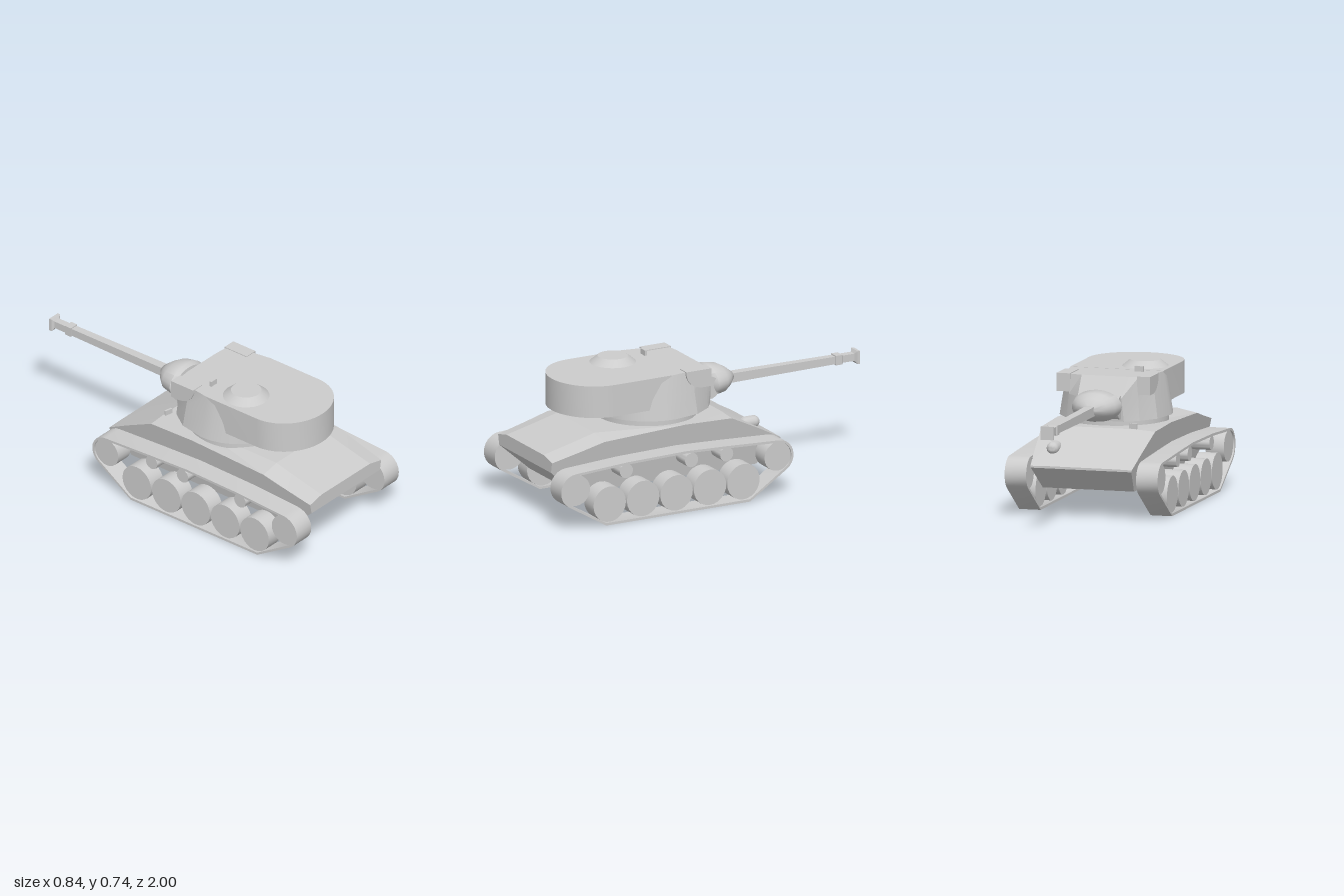
import * as THREE from 'three';
import { toCreasedNormals } from 'three/addons/utils/BufferGeometryUtils.js';

const material = new THREE.MeshStandardMaterial({ color: 0xcccccc });

function add(parent, name, geometry, x = 0, y = 0, z = 0, crease = 0.6) {
  const mesh = new THREE.Mesh(toCreasedNormals(geometry, crease), material);
  mesh.name = name;
  mesh.position.set(x, y, z);
  parent.add(mesh);
  return mesh;
}

// Skin over rings of points, capped at both ends; rings run counterclockwise seen from the last one
function loft(rings) {
  const out = [];
  const tri = (...corners) => corners.forEach((p) => out.push(...p));
  const n = rings[0].length;
  const centre = (ring) => [0, 1, 2].map((k) => ring.reduce((s, p) => s + p[k], 0) / n);
  const first = rings[0], last = rings[rings.length - 1];
  const c0 = centre(first), c1 = centre(last);
  for (let i = 0; i < n; i++) {
    const j = (i + 1) % n;
    for (let r = 0; r + 1 < rings.length; r++) {
      const a = rings[r], b = rings[r + 1];
      tri(a[i], a[j], b[j]);
      tri(a[i], b[j], b[i]);
    }
    tri(c0, first[j], first[i]);
    tri(c1, last[i], last[j]);
  }
  const g = new THREE.BufferGeometry();
  g.setAttribute('position', new THREE.Float32BufferAttribute(out, 3));
  g.computeVertexNormals();
  return g;
}

// Side profile given as (z, y), extruded across x and centred on it
function sideExtrude(shape, width) {
  return new THREE.ExtrudeGeometry(shape, { depth: width, bevelEnabled: false, curveSegments: 8 })
    .translate(0, 0, -width / 2).rotateY(-Math.PI / 2);
}

// Turned profile of [radius, distance forward], pointing to -z
function forwardLathe(profile, segments, phase = 0) {
  return new THREE.LatheGeometry(profile.map(([r, d]) => new THREE.Vector2(r, d)), segments, phase)
    .rotateX(-Math.PI / 2);
}

// Track loop, inset by t for its inner edge
function trackLoop(t) {
  const pts = [[-0.13, t], [0.73, t]];
  const arc = (z, y, r, from, to) => {
    for (let i = 0; i <= 10; i++) {
      const a = THREE.MathUtils.degToRad(from + (to - from) * i / 10);
      pts.push([z + (r - t) * Math.cos(a), y + (r - t) * Math.sin(a)]);
    }
  };
  arc(0.905, 0.215, 0.095, -59, 88);
  pts.push([0.6, 0.328 - t], [0.25, 0.335 - t], [0, 0.325 - t]);
  arc(-0.3, 0.22, 0.09, 92, 237);
  return pts.map(([z, y]) => new THREE.Vector2(z, y));
}

function runningGear(side) {
  const group = new THREE.Group();
  group.name = side > 0 ? 'leftRunningGear' : 'rightRunningGear';
  const shape = new THREE.Shape(trackLoop(0));
  shape.holes.push(new THREE.Path(trackLoop(0.013)));
  add(group, 'track', sideExtrude(shape, 0.118));
  const wheel = (name, z, y, r) =>
    add(group, name, new THREE.CylinderGeometry(r, r, 0.1, 24).rotateZ(Math.PI / 2), 0, y, z);
  wheel('idlerWheel', 0.905, 0.215, 0.083);
  wheel('driveWheel', -0.3, 0.22, 0.079);
  for (let i = 0; i < 5; i++) wheel('roadWheel', 0.705 - i * 0.2, 0.112, 0.097);
  for (const z of [0.605, 0.215, 0.005]) wheel('returnRoller', z, 0.278, 0.039);
  group.position.x = side * 0.36;
  return group;
}

function hull() {
  // z, bottom height, deck edge height, deck height; the sides flare with height
  const sections = [
    [-0.39, 0.265, 0.275, 0.277], [-0.26, 0.142, 0.345, 0.347], [-0.08, 0.142, 0.435, 0.443],
    [0.2, 0.142, 0.443, 0.444], [0.68, 0.142, 0.42, 0.442], [0.82, 0.142, 0.384, 0.406],
    [0.985, 0.29, 0.345, 0.366],
  ];
  const flare = (y) => 0.25 + (y - 0.142) * 0.207;
  return loft(sections.map(([z, low, edge, top]) => {
    const half = [[flare(low), low, z], [flare(edge), edge, z], [0.2, top, z]];
    return [...half, ...half.map(([x, y, w]) => [-x, y, w]).reverse()];
  }));
}

function turretBody() {
  // Half outline of a level: front points, then a rounded rear
  const level = (y, front, rx) => {
    const half = [...front];
    for (let i = 0; i <= 8; i++) {
      const a = i / 8 * Math.PI / 2 * 0.98;
      half.push([rx * Math.cos(a), 0.25 + 0.3 * Math.sin(a)]);
    }
    return [...half].reverse().map(([x, z]) => [x, y, z]).concat(half.map(([x, z]) => [-x, y, z]));
  };
  return loft([
    level(0.475, [[0.13, -0.05], [0.2, 0.0], [0.268, 0.1]], 0.295),
    level(0.6, [[0.12, -0.06], [0.19, 0.01], [0.25, 0.11]], 0.273),
    level(0.704, [[0.12, 0.012], [0.19, 0.02], [0.235, 0.12]], 0.254),
  ]);
}

export function createModel() {
  const model = new THREE.Group();
  model.name = 'tank';
  add(model, 'hull', hull(), 0, 0, 0, 0.1);
  model.add(runningGear(1), runningGear(-1));

  // Deck fittings
  add(model, 'headlamp', new THREE.CapsuleGeometry(0.033, 0.05, 6, 14).rotateX(Math.PI / 2), 0.19, 0.355, -0.25);
  add(model, 'deckPeriscope', new THREE.BoxGeometry(0.045, 0.03, 0.012).rotateY(-0.2), -0.187, 0.455, -0.065);

  // Turret
  const turret = new THREE.Group();
  turret.name = 'turret';
  model.add(turret);
  add(turret, 'turretRing', new THREE.CylinderGeometry(0.27, 0.27, 0.045, 40), 0, 0.4575, 0.26);
  add(turret, 'turretBody', turretBody(), 0, 0, 0, 0.35);

  // Rear bustle with a rounded end
  const bustle = new THREE.Shape();
  bustle.moveTo(-0.255, 0.25).lineTo(0.255, 0.25).lineTo(0.255, 0.59);
  bustle.absellipse(0, 0.59, 0.255, 0.235, 0, Math.PI, false);
  add(turret, 'bustle', new THREE.ExtrudeGeometry(bustle, { depth: 0.173, bevelEnabled: false, curveSegments: 14 })
    .rotateX(Math.PI / 2), 0, 0.705, 0);

  // Sight housings on the front corners, rounded below
  const housing = new THREE.Shape();
  housing.moveTo(0.01, 0.708).lineTo(0.01, 0.612).lineTo(0.07, 0.612);
  housing.quadraticCurveTo(0.15, 0.625, 0.16, 0.69).lineTo(0.16, 0.708);
  for (const side of [1, -1]) add(turret, 'sightHousing', sideExtrude(housing, 0.072), side * 0.22, 0, 0);

  // Roof fittings
  add(turret, 'cupola', new THREE.CylinderGeometry(0.08, 0.123, 0.035, 24), -0.11, 0.722, 0.4, 0.45);
  add(turret, 'roofPeriscope', new THREE.BoxGeometry(0.048, 0.03, 0.012), -0.137, 0.718, 0.2);

  // Gun mount and gun
  add(turret, 'trunnion', new THREE.CylinderGeometry(0.062, 0.062, 0.23, 20).rotateZ(Math.PI / 2), 0, 0.55, -0.055);
  add(turret, 'mantlet', forwardLathe(
    [[0, 0.07], [0.115, 0.08], [0.135, 0.1], [0.12, 0.165], [0.085, 0.205], [0.035, 0.245], [0, 0.248]], 24)
    .scale(1, 0.63, 1), 0, 0.562, 0, 0.8);
  add(turret, 'gunBarrel', forwardLathe(
    [[0, 0.2], [0.036, 0.2], [0.029, 0.86], [0.037, 0.86], [0.037, 0.9], [0.028, 0.905], [0.028, 0.975],
      [0.05, 0.985], [0.05, 1], [0, 1]], 4, Math.PI / 4), 0, 0.552, 0, 0.1);
  return model;
}
